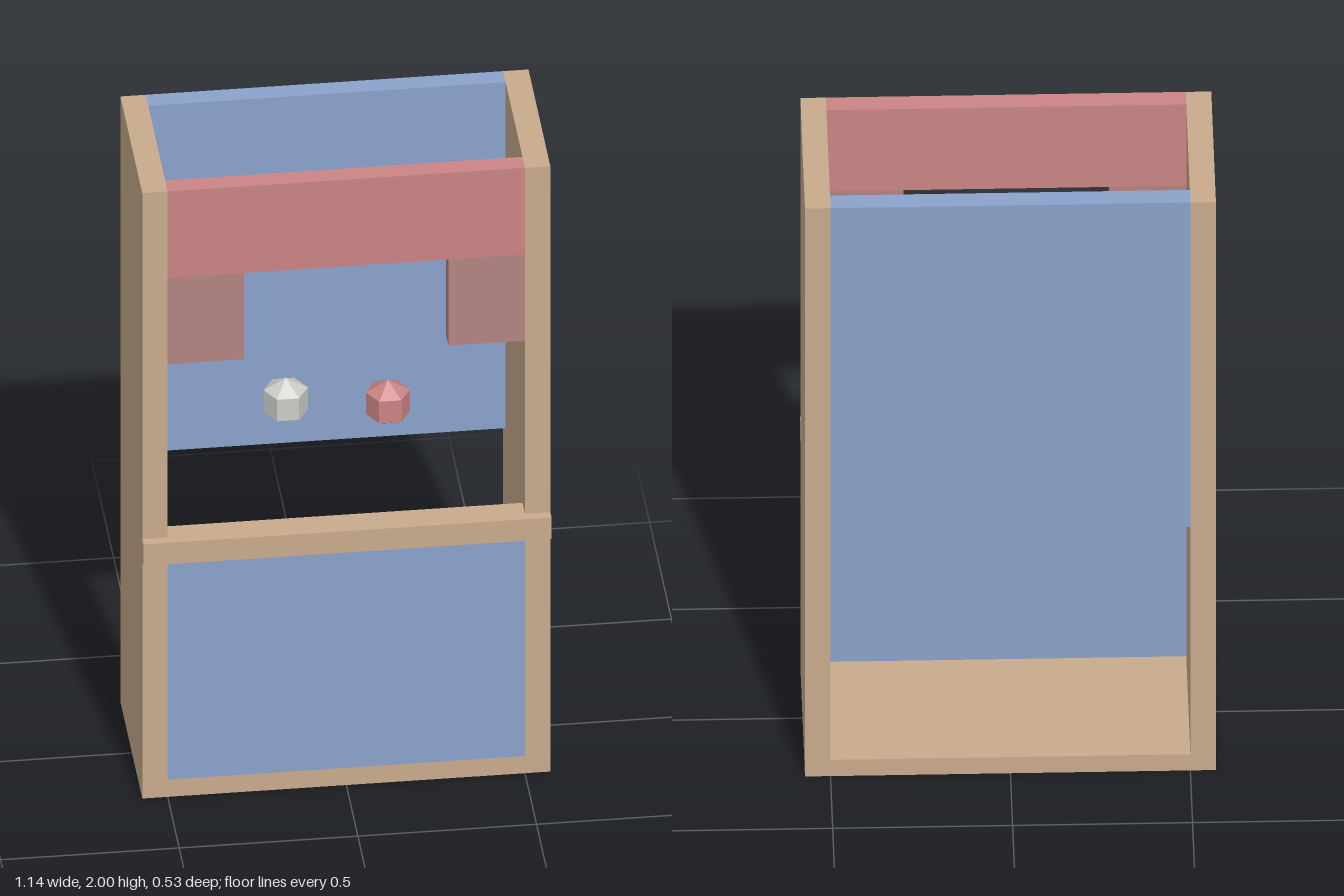
import * as THREE from 'three';

const paint = (name, color, flatShading = false) => {
  const m = new THREE.MeshStandardMaterial({ color, flatShading });
  m.name = name;
  return m;
};

export function createModel() {
  const theatre = new THREE.Group();
  theatre.name = 'puppetTheatre';

  const wood = paint('wood', 0xc8aa8c);
  const blue = paint('bluePanel', 0x8aa2ca);
  const red = paint('redValance', 0xca8484);
  const curtainRed = paint('curtainRed', 0xb38381);
  const redPuppet = paint('redPuppet', 0xca8484, true);
  const greyPuppet = paint('greyPuppet', 0xcbcbc8, true);

  // Box given by its limits on each axis
  const box = (name, material, [x0, x1], [y0, y1], [z0, z1]) => {
    const mesh = new THREE.Mesh(new THREE.BoxGeometry(x1 - x0, y1 - y0, z1 - z0), material);
    mesh.position.set((x0 + x1) / 2, (y0 + y1) / 2, (z0 + z1) / 2);
    mesh.name = name;
    theatre.add(mesh);
  };

  const outer = 0.571, inner = 0.5;
  const depth = [-0.264, 0.236];
  const frontPlane = [0.179, 0.236];
  const backPlane = [-0.264, -0.207];
  const opening = [-inner, inner];

  // Frame: side walls, floor and playboard shelf
  box('leftWall', wood, [inner, outer], [0, 2], depth);
  box('rightWall', wood, [-outer, -inner], [0, 2], depth);
  box('floor', wood, opening, [0, 0.057], depth);
  box('shelf', wood, [-outer, outer], [0.786, 0.857], [0.179, 0.264]);

  // Panels set between the walls
  box('frontPanel', blue, opening, [0.057, 0.786], frontPlane);
  box('backPanel', blue, opening, [0.857, 2], backPlane);

  // Valance and side curtains
  box('valance', red, opening, [1.714, 2], frontPlane);
  box('leftCurtain', curtainRed, [0.286, inner], [1.429, 1.714], frontPlane);
  box('rightCurtain', curtainRed, [-inner, -0.286], [1.429, 1.714], frontPlane);

  // Hexagonal puppet heads
  const puppet = (name, material, x, y) => {
    const mesh = new THREE.Mesh(new THREE.SphereGeometry(0.0714, 6, 3), material);
    mesh.position.set(x, y, 0.019);
    mesh.name = name;
    theatre.add(mesh);
  };
  puppet('greyPuppetHead', greyPuppet, -0.143, 1.146);
  puppet('redPuppetHead', redPuppet, 0.143, 1.117);

  return theatre;
}
